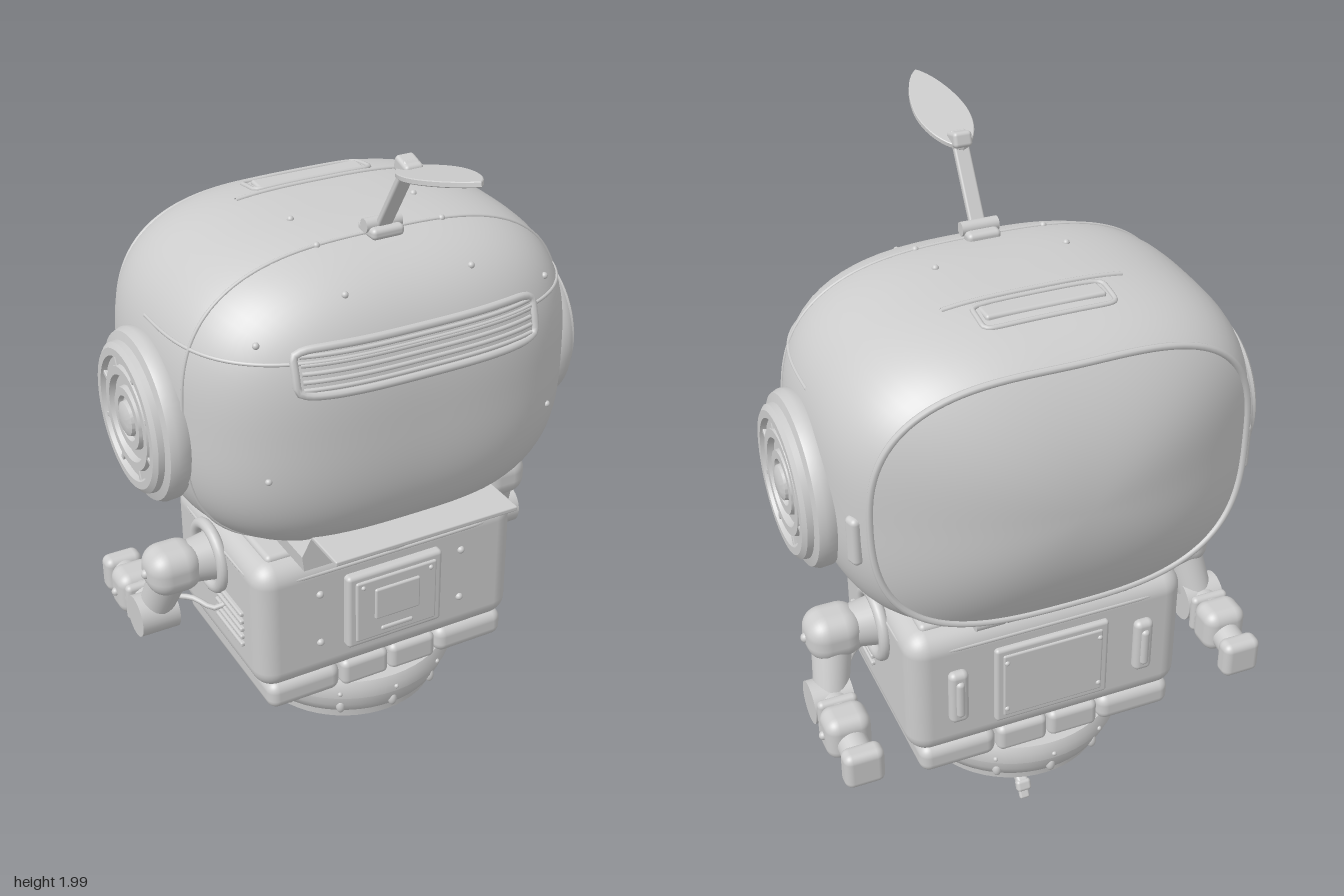
import * as THREE from 'three';
import { toCreasedNormals } from 'three/addons/utils/BufferGeometryUtils.js';
import { RoundedBoxGeometry } from 'three/addons/geometries/RoundedBoxGeometry.js';
import { ParametricGeometry } from 'three/addons/geometries/ParametricGeometry.js';

const V = (x, y, z) => new THREE.Vector3(x, y, z);
const PI = Math.PI;

// Head: a cubic superellipsoid, half sizes A, B, C about (0, CY, CZ)
const A = 0.567, B = 0.43, C = 0.467, CY = 1.295, CZ = -0.1;
const rest = (p, q) => Math.cbrt(Math.max(0, 1 - Math.abs(p) ** 3 - Math.abs(q) ** 3));
const onFront = (x, y) => V(x, y, CZ + C * rest(x / A, (y - CY) / B));
const onTop = (x, z) => V(x, CY + B * rest(x / A, (z - CZ) / C), z);
const onSide = (s, y, z) => V(s * A * rest((y - CY) / B, (z - CZ) / C), y, z);
const round3 = (t) => {
  const c = Math.cos(t), s = Math.sin(t), k = 1 / Math.cbrt(Math.abs(c) ** 3 + Math.abs(s) ** 3);
  return [c * k, s * k];
};
const rimRadius = (t) => 0.82 + 0.065 * Math.cos(t) ** 2;
const rimPoint = (t) => {
  const r = rimRadius(t), [x, y] = round3(t);
  return V(A * r * x, CY + B * r * y, CZ - C * Math.cbrt(1 - r ** 3));
};

export function createModel() {
  const model = new THREE.Group();
  model.name = 'robot';
  const grey = new THREE.MeshStandardMaterial({ color: 0xcccccc, side: THREE.DoubleSide });
  grey.name = 'light grey';

  const group = (name, parent = model) => {
    const g = new THREE.Group();
    g.name = name;
    parent.add(g);
    return g;
  };
  const add = (parent, name, geo, pos = V(0, 0, 0), rot = [0, 0, 0]) => {
    const m = new THREE.Mesh(geo, grey);
    m.name = name;
    m.position.copy(pos);
    m.rotation.set(...rot);
    parent.add(m);
    return m;
  };
  const box = (p, name, w, h, d, x, y, z, r = 0.01, rot) =>
    add(p, name, new RoundedBoxGeometry(w, h, d, 4, Math.min(r, w / 2.01, h / 2.01, d / 2.01)), V(x, y, z), rot);
  const limb = (p, name, a, b, r1, r2 = r1) => {
    const d = b.clone().sub(a);
    const m = add(p, name, new THREE.CylinderGeometry(r2, r1, d.length(), 28), a.clone().lerp(b, 0.5));
    m.quaternion.setFromUnitVectors(V(0, 1, 0), d.normalize());
    return m;
  };
  const ball = (p, name, pos, r) => add(p, name, new THREE.SphereGeometry(r, 20, 14), pos);
  const tube = (p, name, pts, r, closed = false) =>
    add(p, name, new THREE.TubeGeometry(new THREE.CatmullRomCurve3(pts, closed), pts.length * 2, r, 8, closed));
  const lathe = (p, name, prof, pos, rot) =>
    add(p, name, toCreasedNormals(new THREE.LatheGeometry(prof.map((q) => new THREE.Vector2(...q)), 56), 0.6), pos, rot);
  const span = (n, f) => Array.from({ length: n + 1 }, (_, i) => f(i / n));
  // Outline of a stadium-like rectangle laid on the head
  const outline = (w, h, cx, cy, place) => span(47, (u) => {
    const t = u * PI * 2 * 47 / 48, c = Math.cos(t), s = Math.sin(t);
    const k = 1 / (c ** 8 + s ** 8) ** 0.125;
    return place(cx + w * c * k, cy + h * s * k);
  });

  // Head shell and domed visor
  const head = group('head');
  add(head, 'headShell', new ParametricGeometry((u, v, out) => {
    const t = v * PI * 2, r = rimRadius(t);
    const end = PI - Math.atan2(r, Math.cbrt(1 - r ** 3));
    const [cz, cr] = round3(1e-4 + u * (end - 1e-4)), [x, y] = round3(t);
    out.set(A * cr * x, CY + B * cr * y, CZ + C * cz);
  }, 56, 96));
  add(head, 'visor', new ParametricGeometry((u, v, out) => {
    const q = 1e-4 + u * (1 - 1e-4), p = rimPoint(-v * PI * 2);
    out.set(p.x * q * 0.985, CY + (p.y - CY) * q * 0.985, p.z - (0.563 + p.z) * (1 - q ** 2.2));
  }, 32, 96));
  tube(head, 'visorRim', span(71, (u) => rimPoint(u * PI * 2 * 71 / 72)), 0.009, true);

  // Panel seams
  tube(head, 'ringSeam', span(71, (u) => {
    const [x, y] = round3(u * PI * 2 * 71 / 72);
    return V(A * 0.964 * x, CY + B * 0.964 * y, 0.12);
  }), 0.005, true);
  tube(head, 'browSeam', span(48, (u) => {
    const [x, z] = round3(u * PI);
    return V(A * 0.956 * x, 1.51, CZ + C * 0.956 * z);
  }), 0.005);

  // Slatted vent
  tube(head, 'ventFrame', outline(0.335, 0.058, 0, 1.485, onFront), 0.011, true);
  for (let i = 0; i < 5; i++) {
    const y = 1.445 + i * 0.02;
    tube(head, 'ventSlat', span(20, (u) => onFront(-0.32 + 0.64 * u, y)), 0.006);
  }

  // Top grip and bar
  tube(head, 'gripFrame', outline(0.17, 0.047, 0, -0.277, onTop), 0.007, true);
  box(head, 'grip', 0.31, 0.02, 0.06, 0, 1.712, -0.265, 0.008, [0.05, 0, 0]);
  tube(head, 'topBar', span(12, (u) => onTop(-0.235 + 0.47 * u, -0.21)), 0.007);

  for (const s of [1, -1]) {
    // Rivets
    for (const p of [onTop(s * 0.175, -0.02), onTop(s * 0.175, 0.12), onFront(s * 0.175, 1.635),
      onFront(s * 0.405, 1.55), onFront(s * 0.405, 1.2)]) ball(head, 'headRivet', p, 0.009);
    // Ear disc with concentric rings
    const ear = group(s > 0 ? 'leftEar' : 'rightEar', head);
    lathe(ear, 'earDisc', [[0.215, 0], [0.228, 0.02], [0.23, 0.05], [0.222, 0.068], [0.2, 0.074],
      [0.198, 0.09], [0.185, 0.1], [0.165, 0.1], [0.16, 0.085], [0.14, 0.085], [0.137, 0.096],
      [0.115, 0.096], [0.11, 0.08], [0.085, 0.08], [0.082, 0.094], [0.06, 0.094], [0.055, 0.082],
      [0.048, 0.082], [0.045, 0.098], [0.03, 0.105], [0.0001, 0.107]],
    V(s * 0.525, 1.245, -0.08), [0, 0, -s * PI / 2]);
    for (let i = 0; i < 8; i++) {
      const t = (i + 0.5) * PI / 4;
      box(ear, 'earRib', 0.014, 0.03, 0.014, s * 0.612, 1.245 + 0.15 * Math.sin(t), -0.08 + 0.15 * Math.cos(t), 0.003, [PI / 2 - t, 0, 0]);
    }
    // Side catch
    const c = onSide(s, 1.24, -0.37);
    box(head, 'sideCatch', 0.03, 0.135, 0.042, c.x, c.y, c.z, 0.014, [0, s * 0.3, 0]);
  }

  // Antenna
  const antenna = group('antenna');
  box(antenna, 'antennaFoot', 0.09, 0.03, 0.085, 0, 1.718, 0.125, 0.012);
  limb(antenna, 'antennaHinge', V(-0.05, 1.733, 0.128), V(0.05, 1.733, 0.128), 0.018);
  box(antenna, 'antennaStem', 0.042, 0.25, 0.018, 0, 1.83, 0.2, 0.006, [0.57, 0, 0]);
  box(antenna, 'antennaJoint', 0.05, 0.04, 0.06, 0, 1.918, 0.252, 0.01, [0.28, 0, 0]);
  const leaf = new THREE.Shape();
  leaf.moveTo(0, 0);
  leaf.bezierCurveTo(0.05, 0.02, 0.075, 0.11, 0.066, 0.18);
  leaf.bezierCurveTo(0.058, 0.25, 0.03, 0.32, 0, 0.345);
  leaf.bezierCurveTo(-0.03, 0.32, -0.058, 0.25, -0.066, 0.18);
  leaf.bezierCurveTo(-0.075, 0.11, -0.05, 0.02, 0, 0);
  add(antenna, 'antennaBlade', new THREE.ExtrudeGeometry(leaf, { depth: 0.01, bevelThickness: 0.002, bevelSize: 0.002, bevelSegments: 1, curveSegments: 16 }),
    V(0, 1.908, 0.225), [PI / 2 - 0.235, 0, 0]);

  // Neck, its housing, ledge and pegs
  const neck = group('neck');
  const trap = new THREE.Shape([[-0.29, 0.865], [0.29, 0.865], [0.295, 0.91], [0.265, 0.965], [0.22, 0.985],
    [-0.22, 0.985], [-0.265, 0.965], [-0.295, 0.91]].map((p) => new THREE.Vector2(...p)));
  add(neck, 'neckHousing', new THREE.ExtrudeGeometry(trap, { depth: 0.3, bevelEnabled: false }), V(0, 0, -0.05));
  box(neck, 'neckLedge', 0.54, 0.014, 0.2, 0, 0.965, 0.29, 0.004);
  for (const x of [-0.12, -0.04, 0.04, 0.12]) limb(neck, 'neckPeg', V(x, 0.937, 0.2), V(x, 0.937, 0.34), 0.014);
  limb(neck, 'neckPost', V(0, 0.82, -0.08), V(0, 0.91, -0.08), 0.2);
  limb(neck, 'neckStub', V(0, 0.82, 0.1), V(0, 0.91, 0.1), 0.12);
  for (let i = 0; i < 5; i++) {
    const x = -0.176 + i * 0.088;
    limb(neck, 'hingeBarrel', V(x - 0.04, 0.862, -0.35), V(x + 0.04, 0.862, -0.35), 0.019);
  }

  // Torso and segmented belt
  const torso = group('torso');
  box(torso, 'torsoShell', 0.8, 0.4, 0.56, 0, 0.65, -0.08, 0.06);
  box(torso, 'torsoLid', 0.7, 0.03, 0.46, 0, 0.848, -0.08, 0.014);
  const lip = outline(0.396, 0.276, 0, -0.08, (x, z) => V(x, 0.8, z));
  tube(torso, 'torsoSeam', lip, 0.006, true);
  for (const s of [1, -1]) {
    box(torso, 'beltSegment', 0.147, 0.085, 0.56, s * 0.076, 0.428, -0.08, 0.02);
    box(torso, 'beltSegment', 0.22, 0.085, 0.56, s * 0.264, 0.428, -0.08, 0.03);
  }

  // Front hatch
  box(torso, 'hatchFrame', 0.295, 0.235, 0.04, 0, 0.655, 0.205, 0.012);
  box(torso, 'hatchDoor', 0.25, 0.195, 0.02, 0, 0.655, 0.222, 0.006);
  box(torso, 'hatchWindow', 0.14, 0.1, 0.02, 0, 0.67, 0.229, 0.006);
  box(torso, 'hatchSlot', 0.1, 0.014, 0.02, 0, 0.582, 0.228, 0.006);

  // Back panel
  box(torso, 'backPanelFrame', 0.33, 0.25, 0.03, 0, 0.645, -0.36, 0.01);
  box(torso, 'backPanel', 0.29, 0.21, 0.02, 0, 0.645, -0.37, 0.006);
  for (const s of [1, -1]) {
    box(torso, 'backGrip', 0.055, 0.17, 0.035, s * 0.27, 0.65, -0.368, 0.017);
    box(torso, 'backGripBar', 0.025, 0.12, 0.03, s * 0.27, 0.65, -0.38, 0.012);
    for (const y of [0.575, 0.735]) {
      ball(torso, 'torsoRivet', V(s * 0.22, y, 0.2), 0.011);
      ball(torso, 'panelRivet', V(s * 0.135, y - 0.01, -0.378), 0.008);
    }
    ball(torso, 'hatchRivet', V(s * 0.105, 0.735, 0.232), 0.007);
    // Side louvres
    for (let i = 0; i < 5; i++) box(torso, 'sideLouvre', 0.02, 0.014, 0.17, s * 0.401, 0.565 + i * 0.025, 0.015, 0.005);
  }

  // Round base with studs
  const base = group('base');
  lathe(base, 'baseDrum', [[0.0001, 0.25], [0.17, 0.25], [0.175, 0.24], [0.19, 0.24], [0.2, 0.235], [0.255, 0.235],
    [0.266, 0.243], [0.268, 0.268], [0.285, 0.28], [0.3, 0.31], [0.303, 0.335], [0.315, 0.345], [0.316, 0.375],
    [0.305, 0.396], [0.0001, 0.396]], V(0, 0, -0.08));
  for (let i = 0; i < 12; i++) {
    const t = i * PI / 6, c = Math.cos(t), s = Math.sin(t);
    const stud = ball(base, 'baseStud', V(0.292 * s, 0.302, -0.08 + 0.292 * c), 0.015);
    stud.scale.set(0.9, 1.5, 0.9);
    ball(base, 'baseRivet', V(0.316 * s, 0.362, -0.08 + 0.316 * c), 0.007);
  }

  // Arms, bent and reaching towards the visor side
  for (const s of [1, -1]) {
    const arm = group(s > 0 ? 'leftArm' : 'rightArm');
    const P = (x, y, z) => V(s * x, y, z);
    add(arm, 'shoulderRing', new THREE.TorusGeometry(0.092, 0.017, 14, 40), P(0.408, 0.742, -0.1), [0, PI / 2, 0]);
    limb(arm, 'shoulderAxle', P(0.37, 0.745, -0.095), P(0.48, 0.745, -0.095), 0.075, 0.058);
    box(arm, 'shoulder', 0.155, 0.135, 0.14, s * 0.522, 0.745, -0.095, 0.055);
    ball(arm, 'shoulderBolt', P(0.597, 0.745, -0.095), 0.014);
    limb(arm, 'upperArm', P(0.53, 0.71, -0.105), P(0.555, 0.585, -0.155), 0.055, 0.048);
    limb(arm, 'elbow', P(0.505, 0.57, -0.155), P(0.617, 0.57, -0.155), 0.06);
    limb(arm, 'forearm', P(0.56, 0.572, -0.17), P(0.56, 0.565, -0.31), 0.045, 0.055);
    box(arm, 'forearmCuff', 0.125, 0.13, 0.105, s * 0.56, 0.57, -0.29, 0.035);
    box(arm, 'forearmBand', 0.11, 0.115, 0.03, s * 0.56, 0.568, -0.225, 0.014);
    ball(arm, 'forearmBolt', P(0.622, 0.57, -0.29), 0.012);
    limb(arm, 'wrist', P(0.558, 0.56, -0.33), P(0.556, 0.553, -0.4), 0.042);
    box(arm, 'hand', 0.11, 0.11, 0.06, s * 0.555, 0.55, -0.412, 0.022);
    tube(arm, 'cable', [P(0.39, 0.63, -0.02), P(0.43, 0.615, -0.03), P(0.47, 0.63, -0.08), P(0.51, 0.62, -0.13)], 0.008);
  }

  // Small loose jointed piece below the base
  const tail = group('lowerJoint');
  box(tail, 'jointCap', 0.062, 0.055, 0.05, 0, 0.085, -0.102, 0.018);
  box(tail, 'jointBody', 0.056, 0.05, 0.05, 0, 0.083, -0.143, 0.015, [0.25, 0, 0]);
  box(tail, 'jointNeck', 0.036, 0.03, 0.04, 0, 0.058, -0.17, 0.01, [-0.5, 0, 0]);
  box(tail, 'jointTip', 0.045, 0.036, 0.026, 0, 0.046, -0.188, 0.01, [0.4, 0, 0]);
  box(tail, 'jointEnd', 0.03, 0.034, 0.016, 0, 0.018, -0.193, 0.006, [0.5, 0, 0]);
  return model;
}
